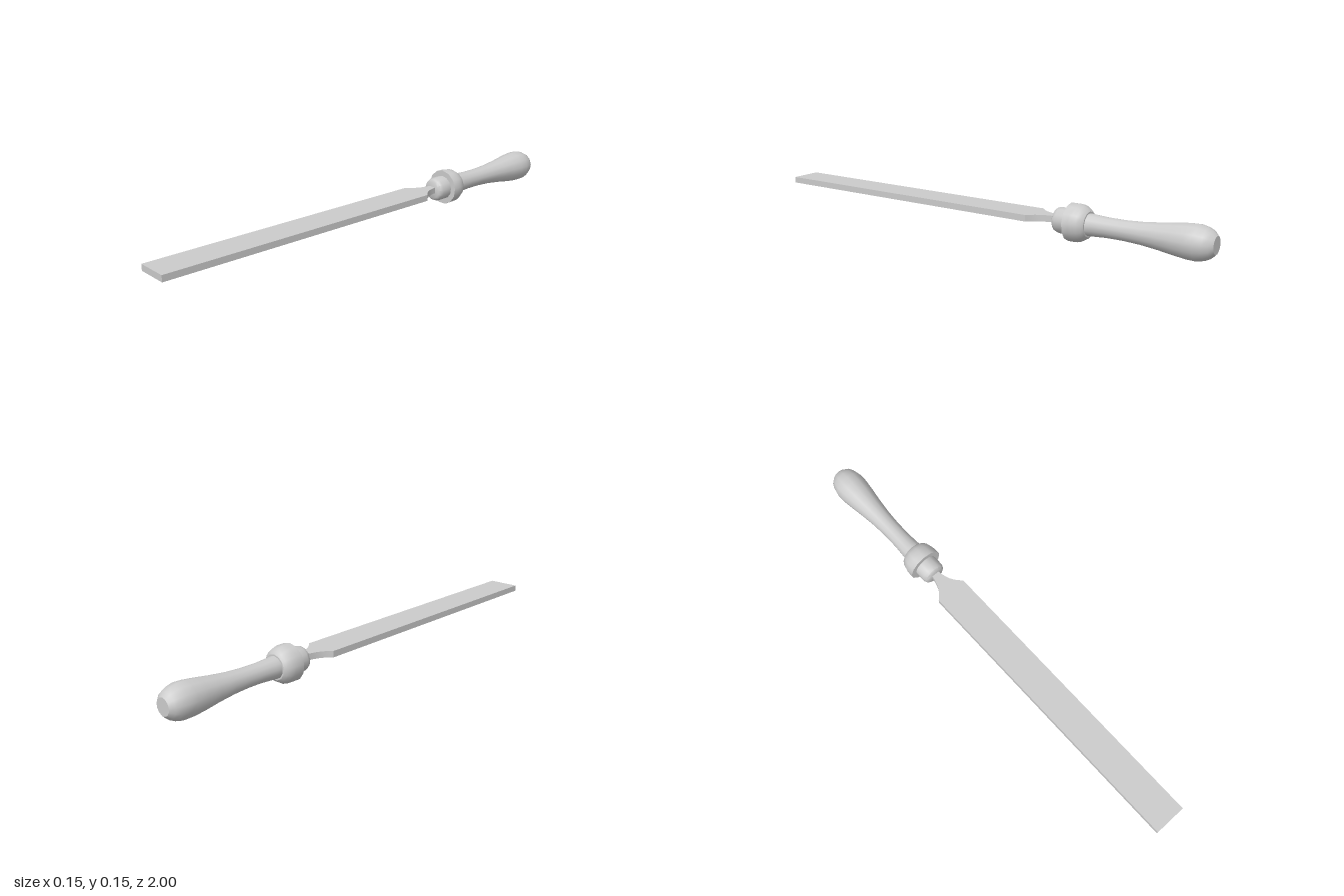
import * as THREE from 'three';
import { toCreasedNormals } from 'three/addons/utils/BufferGeometryUtils.js';

const SIDES = 13;
const AXIS_Y = 0.0725;

export function createModel() {
  const group = new THREE.Group();
  const material = new THREE.MeshStandardMaterial({ color: 0xcccccc });

  const add = (name, geometry) => {
    const mesh = new THREE.Mesh(toCreasedNormals(geometry, 0.62), material);
    mesh.name = name;
    group.add(mesh);
  };

  // Turned part along z; profile is [z, radius] from back to front
  const turned = (name, profile) => {
    const points = profile.map(([z, r]) => new THREE.Vector2(r, z));
    const geometry = new THREE.LatheGeometry(points, SIDES, Math.PI);
    geometry.rotateX(Math.PI / 2).translate(0, AXIS_Y, 0);
    add(name, geometry);
  };

  // Grip: bulbous end narrowing to a waist
  turned('grip', [
    [-1, 0], [-1, 0.034], [-0.985, 0.05], [-0.965, 0.06], [-0.935, 0.067],
    [-0.9, 0.066], [-0.85, 0.06], [-0.79, 0.051], [-0.72, 0.043],
    [-0.65, 0.039], [-0.58, 0.039], [-0.53, 0.042], [-0.49, 0.045], [-0.49, 0],
  ]);

  // Collar: rounded behind, flat in front
  turned('collar', [
    [-0.505, 0], [-0.505, 0.05], [-0.497, 0.06], [-0.482, 0.069],
    [-0.465, 0.0735], [-0.45, 0.0746], [-0.425, 0.0746], [-0.425, 0],
  ]);

  // Ferrule: short sleeve with a rounded front edge
  turned('ferrule', [
    [-0.43, 0], [-0.43, 0.051], [-0.38, 0.051], [-0.367, 0.046],
    [-0.361, 0.037], [-0.361, 0],
  ]);

  // Flat blade with concave shoulders running into the tang
  const half = 0.067;
  const shape = new THREE.Shape();
  shape.moveTo(-half, 1);
  shape.lineTo(-half, -0.262);
  shape.bezierCurveTo(-0.035, -0.29, -0.022, -0.315, -0.014, -0.375);
  shape.lineTo(0.014, -0.375);
  shape.bezierCurveTo(0.022, -0.315, 0.035, -0.29, half, -0.262);
  shape.lineTo(half, 1);
  shape.closePath();
  const blade = new THREE.ExtrudeGeometry(shape, { depth: 0.026, bevelEnabled: false, curveSegments: 6 });
  blade.rotateX(Math.PI / 2).translate(0, 0.088, 0);
  add('blade', blade);

  return group;
}
